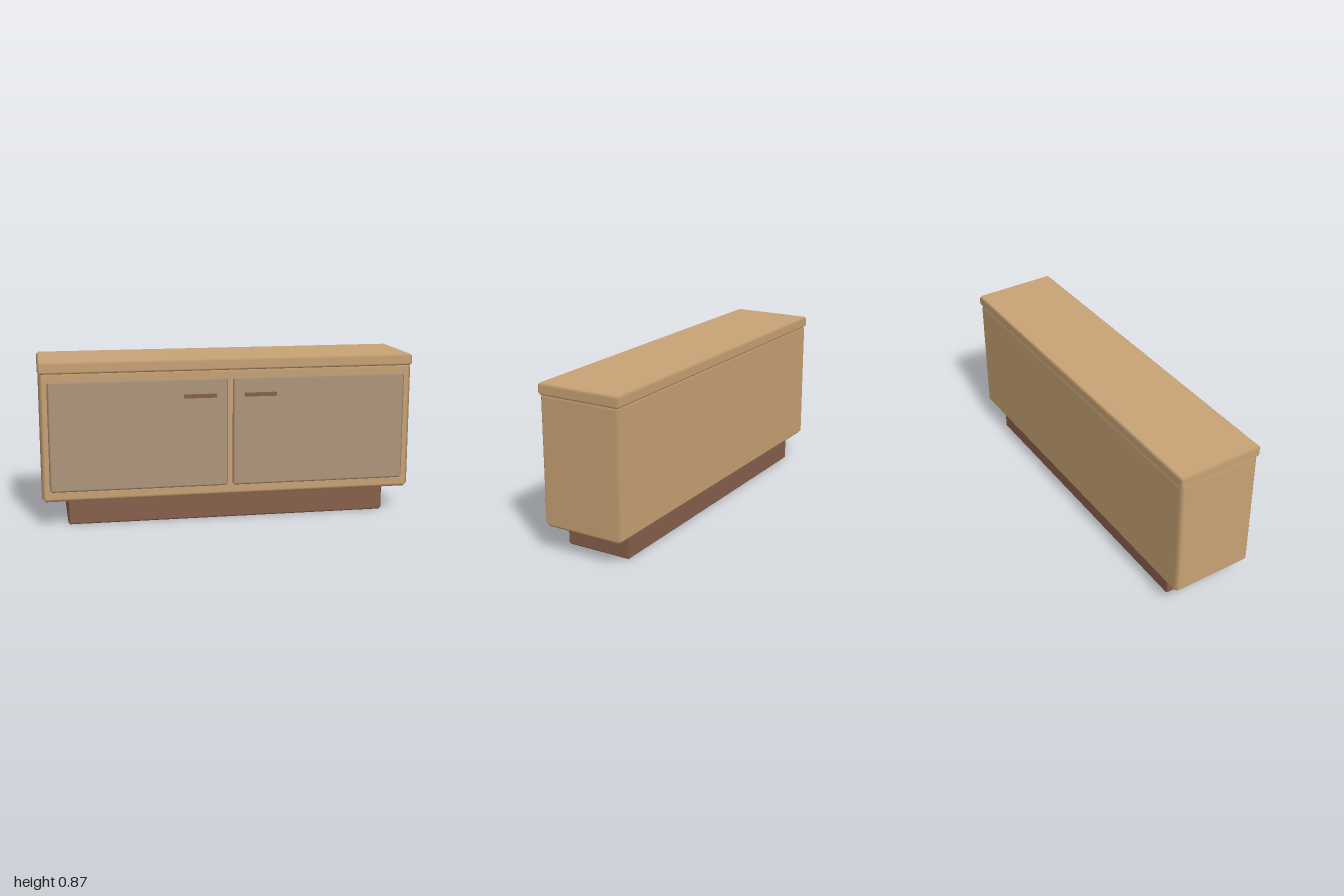
import * as THREE from 'three';

// Box between two corners with one flat bevel per edge; each bevel blends smoothly between its faces.
function bevelBox([x0, y0, z0], [x1, y1, z1], bevel) {
  const half = [(x1 - x0) / 2, (y1 - y0) / 2, (z1 - z0) / 2];
  const positions = [], normals = [], indices = [];
  const signs = (c) => [c & 1 ? 1 : -1, c & 2 ? 1 : -1, c & 4 ? 1 : -1];

  // three vertices at every corner, one on each main face
  for (let c = 0; c < 8; c++) {
    const s = signs(c);
    for (let axis = 0; axis < 3; axis++) {
      for (let k = 0; k < 3; k++) {
        positions.push(s[k] * (half[k] - (k === axis ? 0 : bevel)));
        normals.push(k === axis ? s[k] : 0);
      }
    }
  }

  const at = (i) => new THREE.Vector3().fromArray(positions, i * 3);
  const tri = (a, b, c) => {
    const A = at(a), B = at(b), C = at(c);
    const n = B.clone().sub(A).cross(C.clone().sub(A));
    const outward = n.dot(A.add(B).add(C)) > 0;
    indices.push(a, ...(outward ? [b, c] : [c, b]));
  };
  const quad = (a, b, c, d) => { tri(a, b, c); tri(a, c, d); };
  const id = (corner, axis) => corner * 3 + axis;

  for (let axis = 0; axis < 3; axis++) {
    const u = (axis + 1) % 3, v = (axis + 2) % 3;
    const du = 1 << u, dv = 1 << v, da = 1 << axis;
    // main faces
    for (const c of [0, da]) {
      quad(id(c, axis), id(c | du, axis), id(c | du | dv, axis), id(c | dv, axis));
    }
    // edge bevels running along this axis
    for (const c of [0, du, dv, du | dv]) {
      quad(id(c, u), id(c | da, u), id(c | da, v), id(c, v));
    }
  }
  // corner triangles
  for (let c = 0; c < 8; c++) tri(id(c, 0), id(c, 1), id(c, 2));

  const geometry = new THREE.BufferGeometry();
  geometry.setAttribute('position', new THREE.Float32BufferAttribute(positions, 3));
  geometry.setAttribute('normal', new THREE.Float32BufferAttribute(normals, 3));
  geometry.setIndex(indices);
  geometry.translate((x0 + x1) / 2, (y0 + y1) / 2, (z0 + z1) / 2);
  return geometry;
}

export function createModel() {
  const model = new THREE.Group();
  model.name = 'sideboard';

  const material = (name, color) => Object.assign(new THREE.MeshStandardMaterial({ color }), { name });
  const lightWood = material('light wood', 0xc9a375);
  const greyWood = material('greyish wood', 0xae967c);
  const darkWood = material('dark wood', 0x88604c);

  const add = (name, geometry, mat) => {
    const mesh = new THREE.Mesh(geometry, mat);
    mesh.name = name;
    model.add(mesh);
    return mesh;
  };

  // plinth, carcass and top board
  add('plinth', bevelBox([-0.863, 0, -0.193], [0.863, 0.142, 0.178], 0.01), darkWood);
  add('cabinet', bevelBox([-0.996, 0.136, -0.236], [0.996, 0.822, 0.22], 0.02), lightWood);
  add('topBoard', bevelBox([-1, 0.812, -0.241], [1, 0.873, 0.226], 0.012), lightWood);

  // doors with bar handles, mirrored
  for (const [side, s] of [['left', 1], ['right', -1]]) {
    const span = (a, b) => (s > 0 ? [a, b] : [-b, -a]);
    const [d0, d1] = span(0.0125, 0.955);
    add(side + 'Door', bevelBox([d0, 0.191, 0.19], [d1, 0.772, 0.232], 0.011), greyWood);

    const handle = add(side + 'Handle', new THREE.BoxGeometry(0.17, 0.02, 0.018), darkWood);
    handle.position.set(s * 0.161, 0.681, 0.234);
  }

  return model;
}
